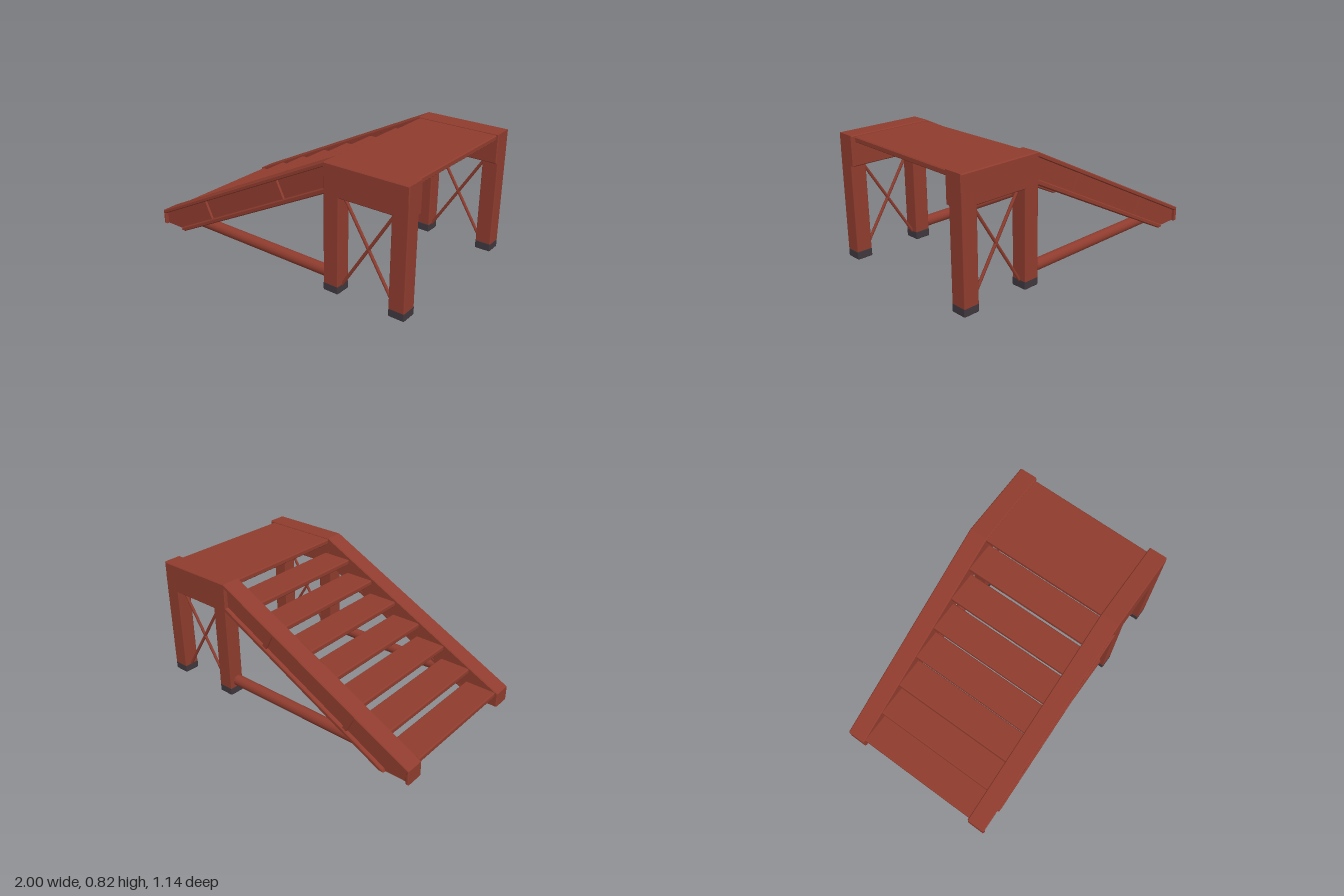
import * as THREE from 'three';
import { RoundedBoxGeometry } from 'three/addons/geometries/RoundedBoxGeometry.js';

const red = new THREE.MeshStandardMaterial({ color: 0x8f3c2e });
red.name = 'red paint';
const dark = new THREE.MeshStandardMaterial({ color: 0x3f383e });
dark.name = 'dark rubber';

const toShape = (pts) => new THREE.Shape(pts.map(([x, y]) => new THREE.Vector2(x, y)));

// Extrudes an outline between two z values, with an optional bevel kept inside it
function slab(pts, z0, z1, bevel = 0) {
  const geo = new THREE.ExtrudeGeometry(toShape(pts), {
    depth: z1 - z0 - 2 * bevel,
    bevelEnabled: bevel > 0,
    bevelThickness: bevel,
    bevelSize: bevel,
    bevelOffset: -bevel,
    bevelSegments: 1,
  });
  return geo.translate(0, 0, z0 + bevel);
}

export function createModel() {
  const model = new THREE.Group();
  model.name = 'stairPlatform';

  function add(parent, name, geo, mat, x = 0, y = 0, z = 0) {
    const mesh = new THREE.Mesh(geo, mat);
    mesh.name = name;
    mesh.position.set(x, y, z);
    parent.add(mesh);
    return mesh;
  }

  // Round rod between two points
  function rod(parent, name, a, b, radius, sides) {
    const from = new THREE.Vector3(...a), to = new THREE.Vector3(...b);
    const dir = to.clone().sub(from);
    const mesh = add(parent, name, new THREE.CylinderGeometry(radius, radius, dir.length(), sides), red);
    mesh.position.copy(from).add(to).multiplyScalar(0.5);
    mesh.quaternion.setFromUnitVectors(new THREE.Vector3(0, 1, 0), dir.normalize());
  }

  // Sloping stringer and level beam, with a recess that opens at the floor
  const frame = [
    [-1, 0], [-1, 0.1], [0.435, 0.82], [1, 0.82], [1, 0.625], [0.435, 0.622], [-0.79, 0], [-0.825, 0],
    [-0.815, 0.02], [0.43, 0.655], [0.43, 0.787], [-0.978, 0.08], [-0.978, 0],
  ];
  const web = [[-0.99, 0.001], [-0.99, 0.09], [0.445, 0.805], [0.445, 0.64], [-0.8, 0.005], [-0.81, 0.001]];
  const slope = Math.atan2(0.72, 1.435);

  for (const s of [1, -1]) {
    const side = new THREE.Group();
    side.name = s > 0 ? 'frontSide' : 'backSide';
    model.add(side);
    const span = (a, b) => (s > 0 ? [a, b] : [-b, -a]);

    add(side, 'stringerFrame', slab(frame, ...span(0.44, 0.57), 0.006), red);
    add(side, 'stringerWeb', slab(web, ...span(0.4405, 0.546)), red);

    // Stiffening ribs across the recess
    for (const [x, y] of [[-0.56, 0.232], [0.08, 0.546]]) {
      const rib = add(side, 'stiffeningRib', new THREE.BoxGeometry(0.034, 0.15, 0.025), red, x, y, s * 0.549);
      rib.rotation.z = slope;
    }

    // Legs with dark feet
    for (const x of [0.4875, 0.9475]) {
      add(side, 'leg', new RoundedBoxGeometry(0.105, 0.68, 0.105, 1, 0.006), red, x, 0.385, s * 0.5175);
      add(side, 'foot', new RoundedBoxGeometry(0.107, 0.056, 0.107, 1, 0.007), dark, x, 0.028, s * 0.5165);
    }

    // Cross bracing and the low tie bar
    rod(side, 'crossBrace', [0.53, 0.04, s * 0.517], [0.905, 0.64, s * 0.517], 0.01, 8);
    rod(side, 'crossBrace', [0.53, 0.64, s * 0.517], [0.905, 0.04, s * 0.517], 0.01, 8);
    rod(side, 'tieBar', [-0.69, 0.093, s * 0.506], [0.45, 0.093, s * 0.506], 0.037, 16);
  }

  // Treads
  for (let k = 1; k <= 7; k++) {
    const front = -0.98 + 0.2045 * (k - 1);
    add(model, 'tread', new RoundedBoxGeometry(0.22, 0.036, 0.9, 2, 0.009), red, front + 0.11, 0.1 * k - 0.015, 0);
  }

  // Platform, its far edge very slightly askew
  const deck = slab([[0.435, -0.45], [0.972, -0.45], [0.985, 0.45], [0.435, 0.45]], 0, 0.036, 0.006);
  deck.rotateX(-Math.PI / 2);
  add(model, 'platform', deck, red, 0, 0.775, 0);

  return model;
}
